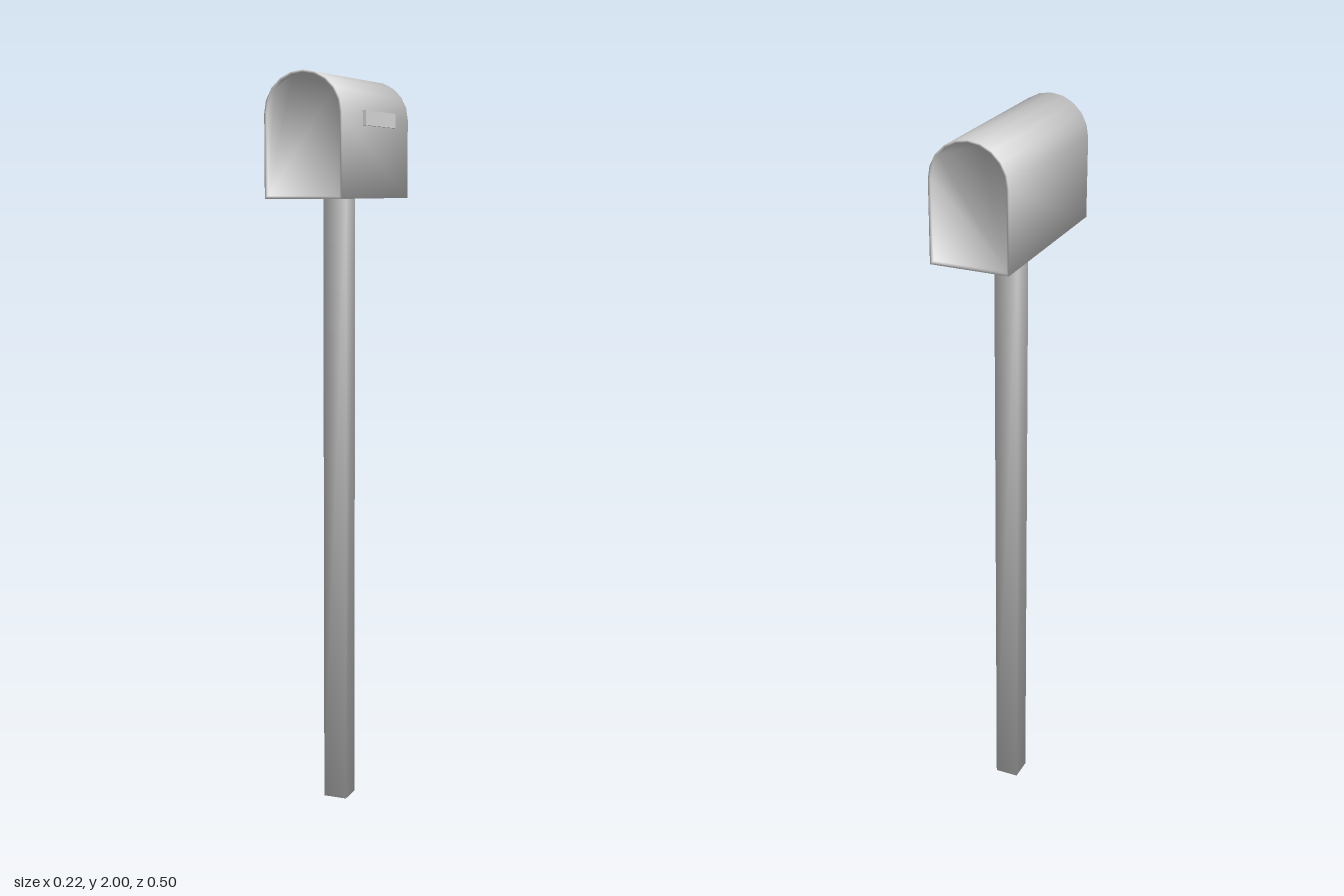
import * as THREE from 'three';
import { mergeVertices } from 'three/addons/utils/BufferGeometryUtils.js';

// Soft normals: each face counts by its angle at the corner, not by its area
function soften(geometry) {
  const position = geometry.attributes.position;
  const index = geometry.index.array;
  const sums = Array.from({ length: position.count }, () => new THREE.Vector3());
  const corner = (i) => new THREE.Vector3().fromBufferAttribute(position, i);
  for (let f = 0; f < index.length; f += 3) {
    const ids = [index[f], index[f + 1], index[f + 2]];
    const [a, b, c] = ids.map(corner);
    const normal = new THREE.Triangle(a, b, c).getNormal(new THREE.Vector3());
    [[a, b, c], [b, c, a], [c, a, b]].forEach(([p, q, r], k) => {
      const angle = q.clone().sub(p).angleTo(r.clone().sub(p));
      sums[ids[k]].addScaledVector(normal, angle);
    });
  }
  const normals = sums.flatMap((n) => n.normalize().toArray());
  geometry.setAttribute('normal', new THREE.Float32BufferAttribute(normals, 3));
  return geometry;
}

// Square post, open where it meets the box
function postGeometry(width, height) {
  const box = new THREE.BoxGeometry(width, height, width);
  const faces = Array.from(box.index.array);
  faces.splice(12, 6); // top face
  box.setIndex(faces);
  box.clearGroups();
  box.deleteAttribute('uv');
  box.deleteAttribute('normal');
  return soften(mergeVertices(box));
}

// Round-topped box with a narrow rim around a slightly sunken panel at each end
function letterBoxGeometry(halfWidth, height, length) {
  const segments = 10, rim = 0.006, sink = 0.01, end = length / 2;
  const spring = height - halfWidth;
  const outline = (inset) => {
    const r = halfWidth - inset;
    const points = [new THREE.Vector2(-r, inset), new THREE.Vector2(r, inset)];
    for (let i = 0; i <= segments; i++) {
      const t = (Math.PI * i) / segments;
      points.push(new THREE.Vector2(r * Math.cos(t), spring + r * Math.sin(t)));
    }
    return points;
  };
  const rings = [
    [rim, -end + sink], [rim, -end], [0, -end],
    [0, end], [rim, end], [rim, end - sink],
  ];
  const positions = [], faces = [];
  const count = segments + 3;
  rings.forEach(([inset, z], r) => {
    outline(inset).forEach((p) => positions.push(p.x, p.y, z));
    if (r === rings.length - 1) return;
    for (let i = 0; i < count; i++) {
      const a = r * count + i, b = r * count + ((i + 1) % count);
      faces.push(a, b, b + count, a, b + count, a + count);
    }
  });
  // End panels
  const front = (rings.length - 1) * count;
  for (const [a, b, c] of THREE.ShapeUtils.triangulateShape(outline(rim), [])) {
    faces.push(front + a, front + b, front + c, a, c, b);
  }
  const geometry = new THREE.BufferGeometry();
  geometry.setAttribute('position', new THREE.Float32BufferAttribute(positions, 3));
  geometry.setIndex(faces);
  return soften(geometry);
}

export function createModel() {
  const model = new THREE.Group();
  model.name = 'mailbox';
  const grey = new THREE.MeshStandardMaterial({ color: 0xd8d8d8 });
  grey.name = 'light grey';

  const add = (name, geometry, x, y, z) => {
    const mesh = new THREE.Mesh(geometry, grey);
    mesh.name = name;
    mesh.position.set(x, y, z);
    model.add(mesh);
  };

  const centreX = -0.004, bottom = 1.68;
  add('post', postGeometry(0.066, bottom), centreX, bottom / 2, 0);
  add('letterBox', letterBoxGeometry(0.106, 2 - bottom, 0.5), centreX, bottom, 0);

  // Signal flag lying along the left side
  add('flag', new THREE.BoxGeometry(0.012, 0.038, 0.225), 0.104, 1.886, -0.0125);

  return model;
}
